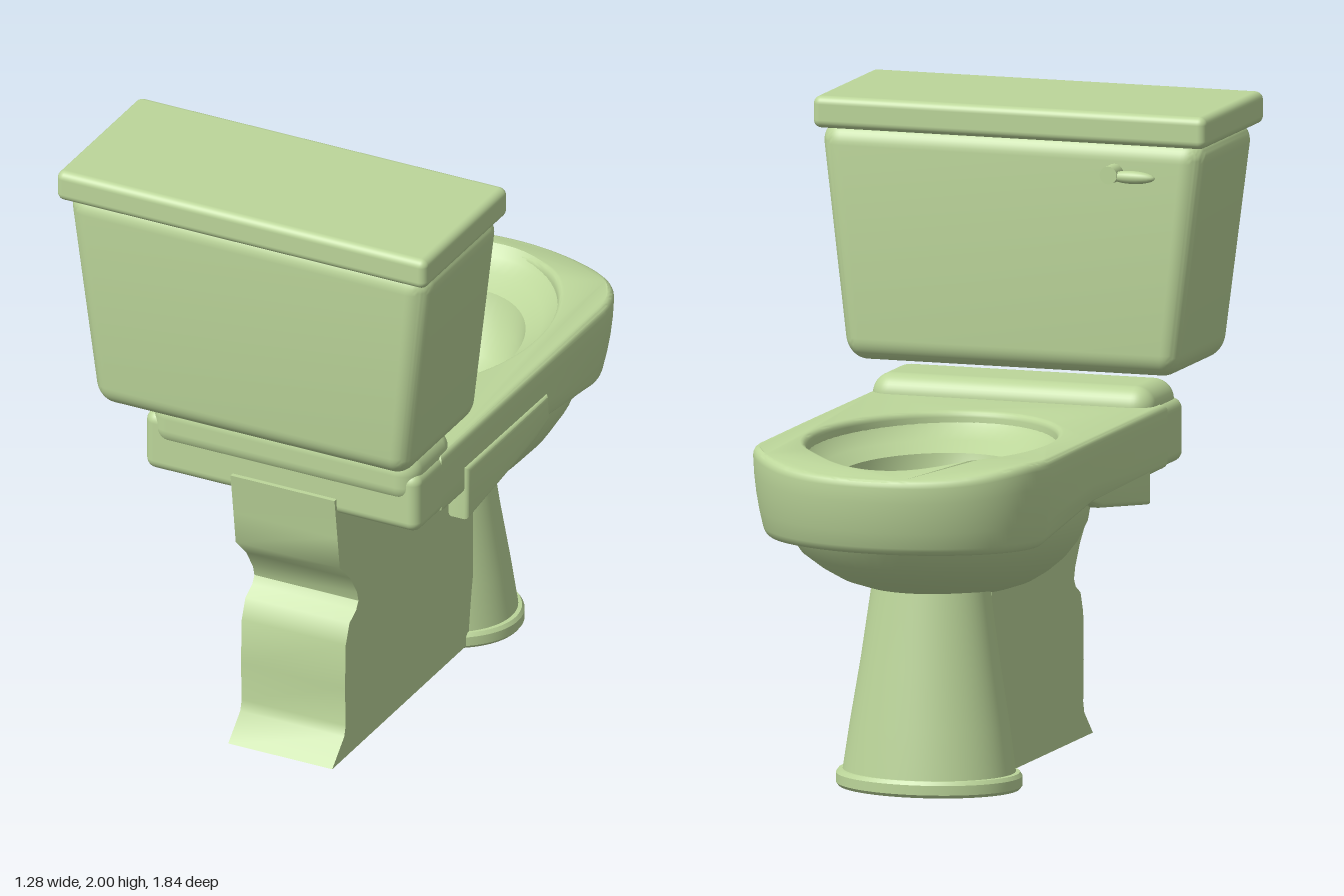
import * as THREE from 'three';
import { toCreasedNormals } from 'three/addons/utils/BufferGeometryUtils.js';
import { RoundedBoxGeometry } from 'three/addons/geometries/RoundedBoxGeometry.js';

const ceramic = new THREE.MeshStandardMaterial({ color: 0xbcd69a });
ceramic.name = 'pale green ceramic';

function add(group, name, geometry, x = 0, y = 0, z = 0) {
  const mesh = new THREE.Mesh(geometry, ceramic);
  mesh.name = name;
  mesh.position.set(x, y, z);
  group.add(mesh);
  return mesh;
}

// Skin through elliptical rings [y, rx, rz, centreZ, centreX]; bottom-up faces out, top-down faces in
function loft(rings, crease = 0.55, n = 64) {
  const pos = [], idx = [];
  rings.forEach(([y, rx, rz, cz, cx = 0.01], i) => {
    for (let j = 0; j < n; j++) {
      const t = (j / n) * Math.PI * 2;
      pos.push(cx + rx * Math.cos(t), y, cz + rz * Math.sin(t));
      if (i === 0) continue;
      const a = (i - 1) * n + j, b = (i - 1) * n + ((j + 1) % n);
      idx.push(a, a + n, b, b, a + n, b + n);
    }
  });
  const g = new THREE.BufferGeometry();
  g.setAttribute('position', new THREE.Float32BufferAttribute(pos, 3));
  g.setIndex(idx);
  return toCreasedNormals(g, crease);
}

// Move every vertex by a rule, then rebuild the normals
function bend(g, rule, crease = 0.6) {
  const p = g.attributes.position, v = new THREE.Vector3();
  for (let i = 0; i < p.count; i++) {
    v.fromBufferAttribute(p, i);
    rule(v);
    p.setXYZ(i, v.x, v.y, v.z);
  }
  return toCreasedNormals(g, crease);
}

// Side profile given as [z, y], extruded across x from xMin to xMax
function sideExtrude(points, xMin, xMax, bevel = 0) {
  const g = new THREE.ExtrudeGeometry(new THREE.Shape(points.map(p => new THREE.Vector2(...p))), {
    depth: xMax - xMin - 2 * bevel, bevelEnabled: bevel > 0, bevelSize: bevel,
    bevelThickness: bevel, bevelOffset: -bevel, bevelSegments: 3,
  });
  g.rotateY(-Math.PI / 2).translate(xMax - bevel, 0, 0);
  return toCreasedNormals(g, 0.7);
}

function makeRim() {
  const s = new THREE.Shape();
  s.moveTo(-0.47, -0.5);
  s.lineTo(0.48, -0.5);
  s.lineTo(0.485, 0.2);
  s.lineTo(0.485, 0.58);
  s.absellipse(0.005, 0.58, 0.48, 0.345, 0, Math.PI, false, 0);
  s.lineTo(-0.475, 0.2);
  s.closePath();
  const hole = new THREE.Path();
  hole.absellipse(0.01, 0.315, 0.37, 0.495, 0, Math.PI * 2, true, 0);
  s.holes.push(hole);
  const g = new THREE.ExtrudeGeometry(s, {
    depth: 0.16, steps: 4, curveSegments: 40, bevelSize: 0.02, bevelThickness: 0.02, bevelOffset: -0.02, bevelSegments: 4,
  });
  g.rotateX(-Math.PI / 2).translate(0, 0.9, 0);
  // The front lip hangs lower, tucks under and dips at the tip
  return bend(g, v => {
    const low = (1.08 - v.y) / 0.2;
    const front = THREE.MathUtils.smoothstep(-v.z, 0.2, 0.65);
    const tuck = 1 - 0.07 * low * low * front;
    v.x *= tuck;
    v.z = -0.3 + (v.z + 0.3) * tuck;
    v.y -= 0.08 * low * front + 0.04 * (1 - low) * THREE.MathUtils.smoothstep(-v.z, 0.68, 0.93);
  });
}

export function createModel() {
  const model = new THREE.Group();
  model.name = 'toilet';

  // Tank, tapered towards the bottom with a flat front
  const tank = new THREE.Group();
  tank.name = 'tank';
  const body = new RoundedBoxGeometry(1.26, 0.74, 0.52, 6, 0.07);
  add(tank, 'tankBody', bend(body, v => {
    const t = 0.37 - v.y;
    v.x *= 1 - 0.19 * t;
    v.z = -0.26 + (v.z + 0.26) * (1 - 0.08 * t);
  }), 0, 1.55, 0.63);
  add(tank, 'tankLid', new RoundedBoxGeometry(1.28, 0.1, 0.56, 4, 0.025), 0, 1.95, 0.64);

  // Flush handle on the tank front
  const pivot = new THREE.CylinderGeometry(0.028, 0.028, 0.06, 20).rotateX(Math.PI / 2);
  add(tank, 'handlePivot', pivot, -0.345, 1.815, 0.335);
  const lever = new THREE.SphereGeometry(1, 24, 12).scale(0.075, 0.02, 0.02);
  add(tank, 'handleLever', lever, -0.415, 1.81, 0.325);
  model.add(tank);

  // Rim, back shelf and the raised ledge beneath the tank
  add(model, 'rim', makeRim());
  add(model, 'backShelf', new RoundedBoxGeometry(0.95, 0.2, 0.27, 4, 0.035), 0.005, 0.98, 0.525);
  add(model, 'tankLedge', new RoundedBoxGeometry(0.92, 0.17, 0.28, 5, 0.065), 0.01, 1.055, 0.53);

  // Sloping side panels below the rim
  const panel = [[0.35, 0.79], [0.35, 0.97], [-0.19, 0.97], [-0.2, 0.88], [-0.1, 0.85]];
  add(model, 'leftPanel', sideExtrude(panel, 0.42, 0.495, 0.015));
  add(model, 'rightPanel', sideExtrude(panel, -0.47, -0.4, 0.015));

  // Outer bowl
  add(model, 'outerBowl', loft([
    [0.575, 0, 0, -0.1], [0.58, 0.14, 0.15, -0.1], [0.595, 0.2, 0.24, -0.13], [0.62, 0.265, 0.335, -0.17],
    [0.65, 0.315, 0.42, -0.195], [0.69, 0.365, 0.49, -0.215], [0.74, 0.41, 0.55, -0.245],
    [0.8, 0.445, 0.585, -0.265], [0.86, 0.46, 0.6, -0.28], [0.92, 0.46, 0.6, -0.28],
  ], 1));

  // Hollow of the bowl: sloping wall, ledge line, dish and drain
  add(model, 'bowlWall', loft([
    [1.065, 0.385, 0.51, -0.315], [1.03, 0.365, 0.485, -0.315], [1.0, 0.325, 0.435, -0.32], [0.97, 0.275, 0.37, -0.32],
  ]));
  add(model, 'bowlDish', loft([
    [0.97, 0.275, 0.37, -0.32], [0.88, 0.262, 0.345, -0.315], [0.8, 0.235, 0.29, -0.305], [0.74, 0.2, 0.22, -0.295],
    [0.7, 0.155, 0.13, -0.275, 0.02], [0.63, 0.14, 0.11, -0.27, 0.02], [0.63, 0, 0, -0.27, 0.02],
  ]));

  // Front pedestal with a foot ring
  add(model, 'pedestal', loft([
    [0.03, 0.275, 0.222, -0.37, 0], [0.2, 0.25, 0.205, -0.365, 0], [0.4, 0.217, 0.18, -0.36, 0], [0.66, 0.18, 0.15, -0.355, 0],
  ]));
  add(model, 'footRing', loft([
    [0, 0, 0, -0.37, 0], [0, 0.285, 0.222, -0.37, 0], [0.01, 0.293, 0.23, -0.37, 0], [0.04, 0.293, 0.23, -0.37, 0],
    [0.052, 0.285, 0.222, -0.37, 0], [0.055, 0.25, 0.2, -0.37, 0],
  ]));

  // Drain housing behind the pedestal
  add(model, 'drainHousing', sideExtrude([
    [0.69, 0.01], [0.61, 0.085], [0.6, 0.12], [0.605, 0.25], [0.6, 0.4], [0.575, 0.465], [0.53, 0.49], [0.515, 0.515],
    [0.525, 0.55], [0.57, 0.62], [0.64, 0.69], [0.655, 0.8], [0.675, 0.94], [0.36, 0.94], [0.22, 0.68],
    [0.05, 0.6], [-0.25, 0.6], [-0.25, 0.01],
  ], -0.16, 0.2));

  return model;
}
